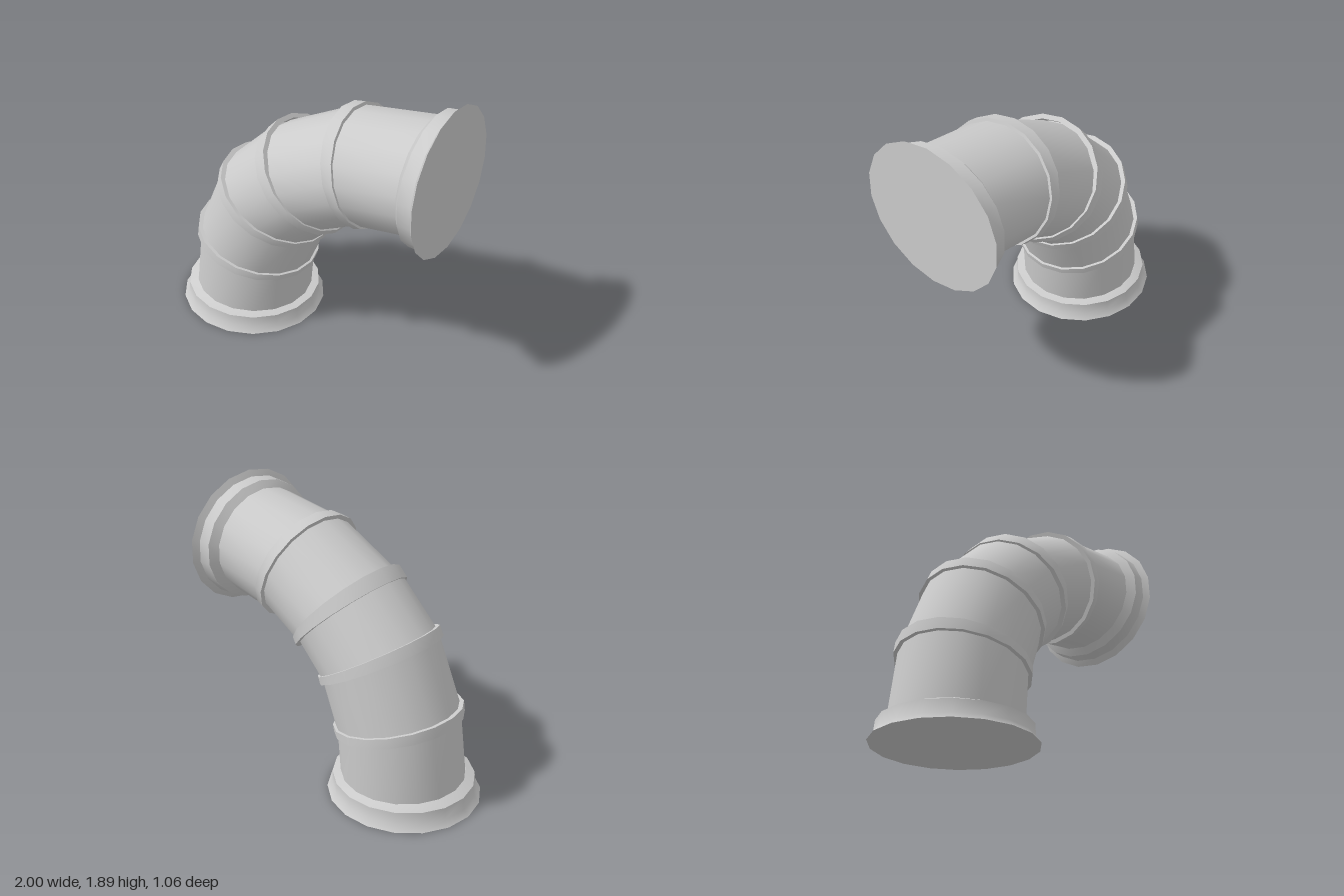
import * as THREE from 'three';
import { toCreasedNormals } from 'three/addons/utils/BufferGeometryUtils.js';

const SIDES = 18;
const material = new THREE.MeshStandardMaterial({ color: 0xcccccc, side: THREE.DoubleSide });

// A section is [outerX, outerY, innerX, innerY, halfWidth]: the two ends of its
// diameter in the plane of the bend, and its half width across the bend.
// The duct also turns slightly sideways towards its far end.
function sectionPoints([ox, oy, ix, iy, half]) {
  const cx = (ox + ix) / 2, cy = (oy + iy) / 2;
  const turn = THREE.MathUtils.clamp((cx + 0.3) / 1.25, 0, 1);
  const cz = -0.04 + 0.07 * turn, yaw = -0.06 * turn;
  const points = [[cx, cy, cz]];
  for (let i = 0; i < SIDES; i++) {
    const a = (i / SIDES) * Math.PI * 2;
    const c = Math.cos(a), s = Math.sin(a) * half;
    points.push([cx + (ox - cx) * c + yaw * s, cy + (oy - cy) * c, cz + s]);
  }
  return points; // centre first, then the rim
}

// Skin a list of sections, optionally closing the first or last one.
function loft(name, sections, { capStart = false, capEnd = false } = {}) {
  const stride = SIDES + 1, index = [];
  const last = (sections.length - 1) * stride;
  for (let i = 0; i < SIDES; i++) {
    const p = 1 + i, q = 1 + ((i + 1) % SIDES);
    for (let b = 0; b < last; b += stride) {
      const t = b + stride;
      index.push(b + p, b + q, t + q, b + p, t + q, t + p);
    }
    if (capStart) index.push(0, q, p);
    if (capEnd) index.push(last, last + p, last + q);
  }
  const geometry = new THREE.BufferGeometry();
  geometry.setAttribute('position',
    new THREE.Float32BufferAttribute(sections.flatMap(sectionPoints).flat(), 3));
  geometry.setIndex(index);
  const mesh = new THREE.Mesh(toCreasedNormals(geometry, 0.75), material);
  mesh.name = name;
  return mesh;
}

// Pull a section in towards its centre.
function shrink([ox, oy, ix, iy, half], k) {
  const cx = (ox + ix) / 2, cy = (oy + iy) / 2;
  return [cx + (ox - cx) * k, cy + (oy - cy) * k, cx + (ix - cx) * k, cy + (iy - cy) * k, half * k];
}

export function createModel() {
  const group = new THREE.Group();
  group.name = 'ductElbow';

  // Straight duct pieces between the joints
  const pieces = [
    [[-0.89, 0.14, -0.055, 0.11, 0.405], [-0.825, 0.61, -0.03, 0.415, 0.4]],
    [[-0.825, 0.62, -0.025, 0.41, 0.405], [-0.615, 1.11, 0.085, 0.7, 0.4]],
    [[-0.605, 1.12, 0.09, 0.71, 0.405], [-0.275, 1.44, 0.26, 0.875, 0.4]],
    [[-0.24, 1.445, 0.26, 0.88, 0.41], [0.25, 1.7, 0.5, 1.01, 0.4]],
    [[0.27, 1.708, 0.515, 1.01, 0.41], [0.82, 1.793, 0.84, 1.06, 0.4]],
  ];
  pieces.forEach((sections, i) => group.add(loft(`ductPiece${i + 1}`, sections)));

  // Raised bands over the joints
  const bands = [
    [[-0.85, 0.59, -0.01, 0.39, 0.428], [-0.84, 0.665, 0.0, 0.43, 0.425]],
    [[-0.645, 1.09, 0.1, 0.68, 0.428], [-0.61, 1.16, 0.115, 0.72, 0.425]],
    [[-0.31, 1.42, 0.28, 0.853, 0.43], [-0.24, 1.495, 0.297, 0.885, 0.425]],
    [[0.225, 1.72, 0.51, 0.985, 0.43], [0.305, 1.735, 0.55, 1.0, 0.425]],
  ];
  bands.forEach(([a, b], i) =>
    group.add(loft(`jointBand${i + 1}`, [shrink(a, 0.92), a, b, shrink(b, 0.92)])));

  // Flared collar the duct stands on
  group.add(loft('baseCollar', [
    [-1.0, 0, 0.035, 0, 0.5],
    [-0.965, 0.04, 0.003, 0.04, 0.467],
    [-0.955, 0.122, 0.0, 0.117, 0.462],
    [-0.89, 0.15, -0.06, 0.125, 0.408],
  ], { capStart: true }));

  // Flared collar at the upper mouth
  group.add(loft('mouthCollar', [
    [0.8, 1.79, 0.83, 1.062, 0.403],
    [0.838, 1.838, 0.868, 1.012, 0.46],
    [0.923, 1.848, 0.958, 1.005, 0.463],
    [0.947, 1.89, 0.988, 0.968, 0.505],
  ], { capEnd: true }));

  return group;
}
